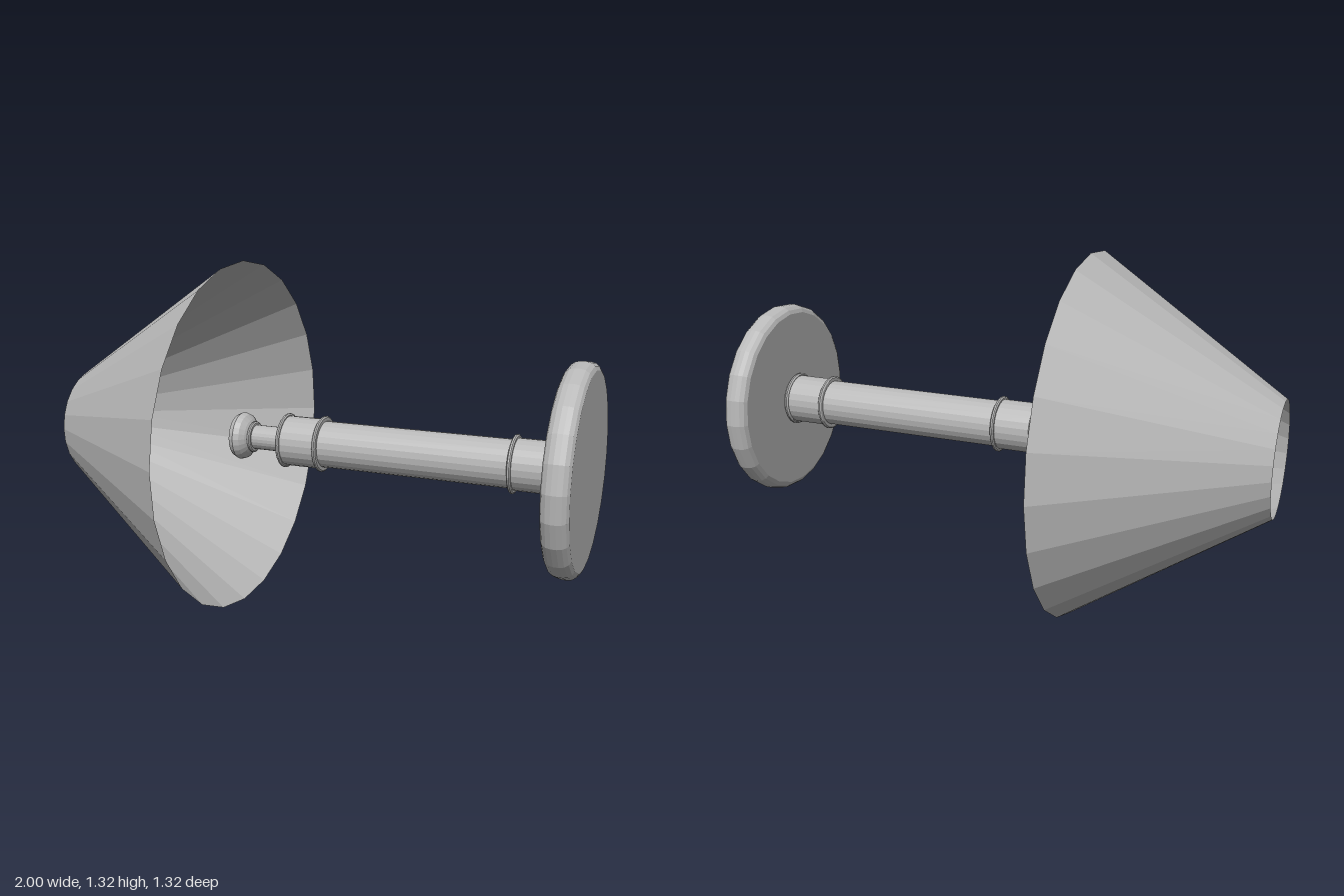
import * as THREE from 'three';

const SIDES = 24;

// Turned part: profile of [position along axis, radius], bottom to top.
function turned(name, profile, material) {
  const points = profile.map(([s, r]) => new THREE.Vector2(r, s));
  const mesh = new THREE.Mesh(new THREE.LatheGeometry(points, SIDES, -0.049), material);
  mesh.name = name;
  return mesh;
}

export function createModel() {
  const metal = new THREE.MeshStandardMaterial({ color: 0xb8b8b8, flatShading: true });
  metal.name = 'grey metal';
  const cloth = new THREE.MeshStandardMaterial({ color: 0xb8b8b8, flatShading: true, side: THREE.DoubleSide });
  cloth.name = 'grey shade';

  const lamp = new THREE.Group();
  lamp.name = 'lampLyingDown';
  const add = (name, profile, material = metal) => lamp.add(turned(name, profile, material));

  // Open conical shade
  add('shade', [[-0.998, 0.208], [-0.312, 0.662]], cloth);

  // Rounded knob at the end of the stem
  add('knob', [
    [-0.345, 0], [-0.345, 0.06], [-0.335, 0.08], [-0.315, 0.09],
    [-0.293, 0.083], [-0.277, 0.065], [-0.267, 0.047], [-0.267, 0],
  ]);

  // Stem sections: start, end, radius
  const sections = [
    ['neck', -0.27, -0.12, 0.046],
    ['upperSleeve', -0.125, 0.025, 0.093],
    ['column', 0.02, 0.745, 0.086],
    ['lowerSleeve', 0.74, 0.91, 0.092],
  ];
  for (const [name, a, b, r] of sections) add(name, [[a, 0], [a, r], [b, r], [b, 0]]);

  // Thin rounded rings: centre, radius
  const rings = [[-0.265, 0.059], [-0.125, 0.102], [0.023, 0.104], [0.742, 0.104], [0.893, 0.101]];
  for (const [s, r] of rings) {
    add('ring', [
      [s - 0.007, r - 0.02], [s - 0.007, r - 0.005], [s - 0.003, r],
      [s + 0.003, r], [s + 0.007, r - 0.005], [s + 0.007, r - 0.02],
    ]);
  }

  // Round base with a softened rim
  add('base', [
    [0.904, 0], [0.904, 0.343], [0.911, 0.357], [0.925, 0.367], [0.942, 0.371],
    [0.96, 0.371], [0.977, 0.367], [0.99, 0.357], [0.997, 0.343], [0.997, 0],
  ]);

  // Lay the lamp on its side, resting with a slight tilt
  lamp.rotation.z = -Math.PI / 2 + 0.01;
  lamp.position.y = 0.666;

  const model = new THREE.Group();
  model.name = 'lamp';
  model.add(lamp);
  return model;
}
